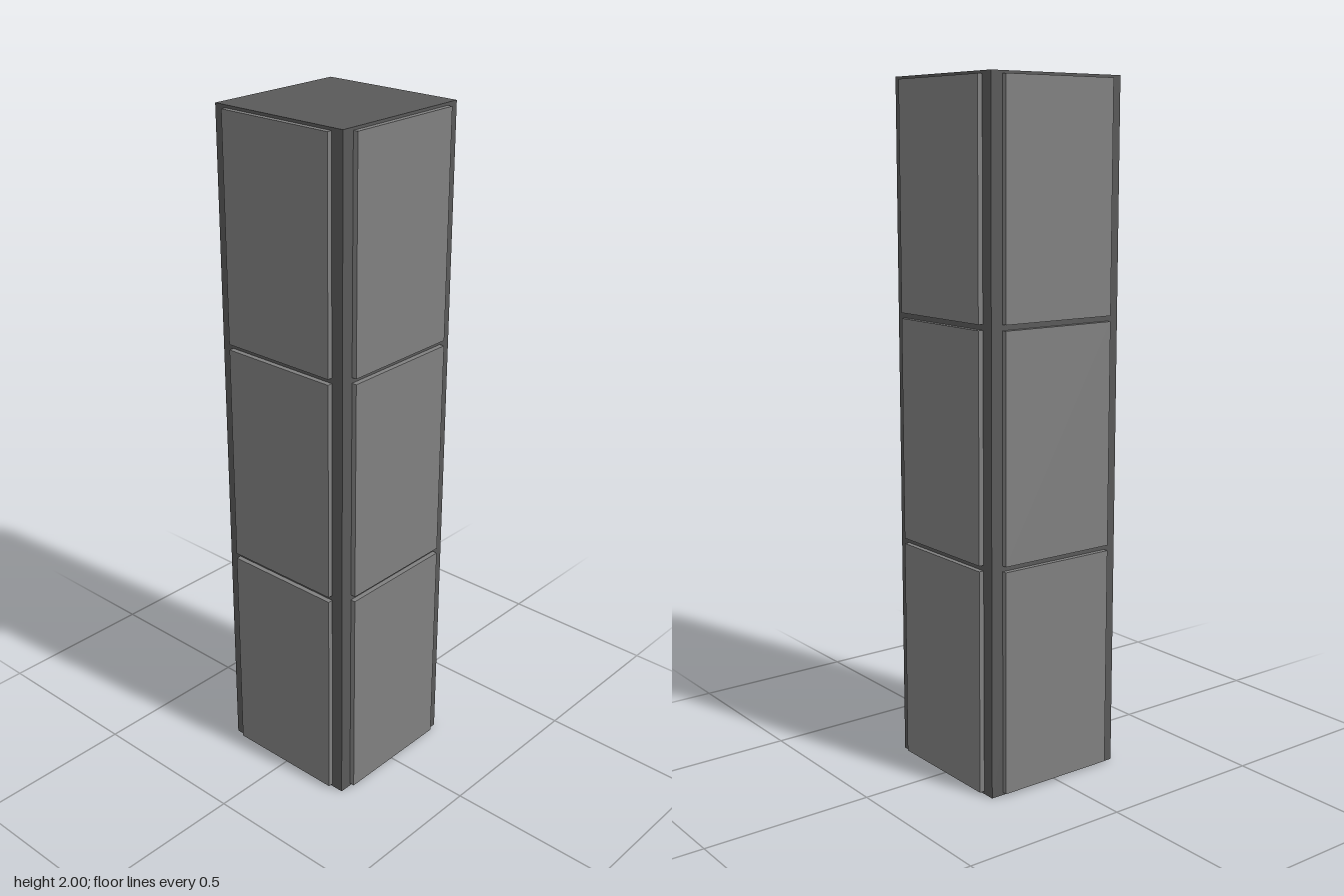
import * as THREE from 'three';

export function createModel() {
  const group = new THREE.Group();
  const darkGrey = new THREE.MeshStandardMaterial({ color: 0x595959 });
  darkGrey.name = 'darkGrey';
  const midGrey = new THREE.MeshStandardMaterial({ color: 0x808080 });
  midGrey.name = 'midGrey';

  const height = 2, coreWidth = 0.445, panelWidth = 0.37, proud = 0.015, gap = 0.016, rows = 3;
  const pitch = height / rows;

  // Square core of the pillar
  const core = new THREE.Mesh(new THREE.BoxGeometry(coreWidth, height, coreWidth), darkGrey);
  core.name = 'core';
  core.position.y = height / 2;
  group.add(core);

  // Raised cladding panels, three to each side
  const panelGeometry = new THREE.BoxGeometry(panelWidth, pitch - gap, proud);
  ['front', 'left', 'back', 'right'].forEach((sideName, i) => {
    const side = new THREE.Group();
    side.name = sideName + 'Panels';
    side.rotation.y = i * Math.PI / 2;
    for (let row = 0; row < rows; row++) {
      const panel = new THREE.Mesh(panelGeometry, midGrey);
      panel.name = sideName + 'Panel' + (row + 1);
      panel.position.set(0, pitch * (row + 0.5), (coreWidth + proud) / 2);
      side.add(panel);
    }
    group.add(side);
  });

  return group;
}
